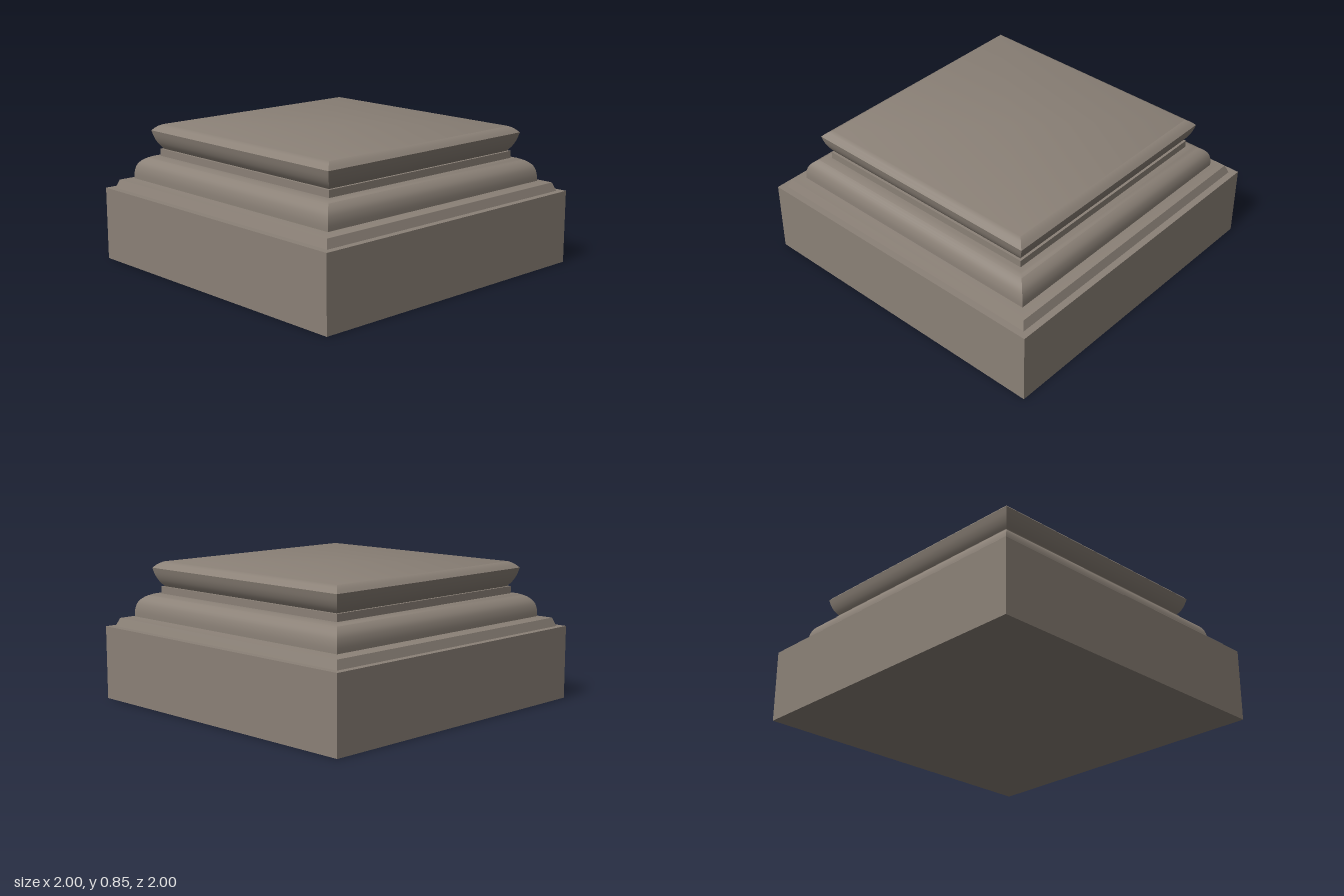
import * as THREE from 'three';
import { toCreasedNormals } from 'three/addons/utils/BufferGeometryUtils.js';

const stone = new THREE.MeshStandardMaterial({ color: 0x8b8177 });
stone.name = 'warm grey stone';

// Sweeps a [halfWidth, y] profile around a square plan, bottom to top.
function squareMoulding(name, profile) {
  const points = profile.map(([half, y]) => new THREE.Vector2(half * Math.SQRT2, y));
  const lathe = new THREE.LatheGeometry(points, 4, Math.PI / 4);
  const mesh = new THREE.Mesh(toCreasedNormals(lathe, 0.6), stone);
  mesh.name = name;
  return mesh;
}

// Samples a smooth curve through a few [halfWidth, y] points.
function smooth(points, steps = 12) {
  const curve = new THREE.SplineCurve(points.map(([x, y]) => new THREE.Vector2(x, y)));
  return curve.getPoints(steps).map((p) => [p.x, p.y]);
}

export function createModel() {
  const model = new THREE.Group();
  model.name = 'squarePedestalBase';

  model.add(
    // plain square block
    squareMoulding('plinth', [[0, 0], [1, 0], [1, 0.452], [0.9, 0.452]]),
    // sloped step with a gently falling ledge
    squareMoulding('fillet', [[0.958, 0.452], [0.938, 0.504], [0.87, 0.514]]),
    // rounded shoulder
    squareMoulding('shoulder', [
      ...smooth([[0.873, 0.512], [0.871, 0.56], [0.857, 0.605], [0.826, 0.637], [0.785, 0.656]]),
      [0.75, 0.656],
    ]),
    // narrow band
    squareMoulding('neck', [[0.756, 0.656], [0.756, 0.7], [0.7, 0.7]]),
    // flaring cap with a bevelled top
    squareMoulding('cap', [
      [0.7, 0.7],
      ...smooth([[0.74, 0.7], [0.764, 0.733], [0.781, 0.77], [0.793, 0.814]], 10),
      [0.778, 0.83], [0.762, 0.843], [0.742, 0.853], [0, 0.853],
    ]),
  );
  return model;
}
